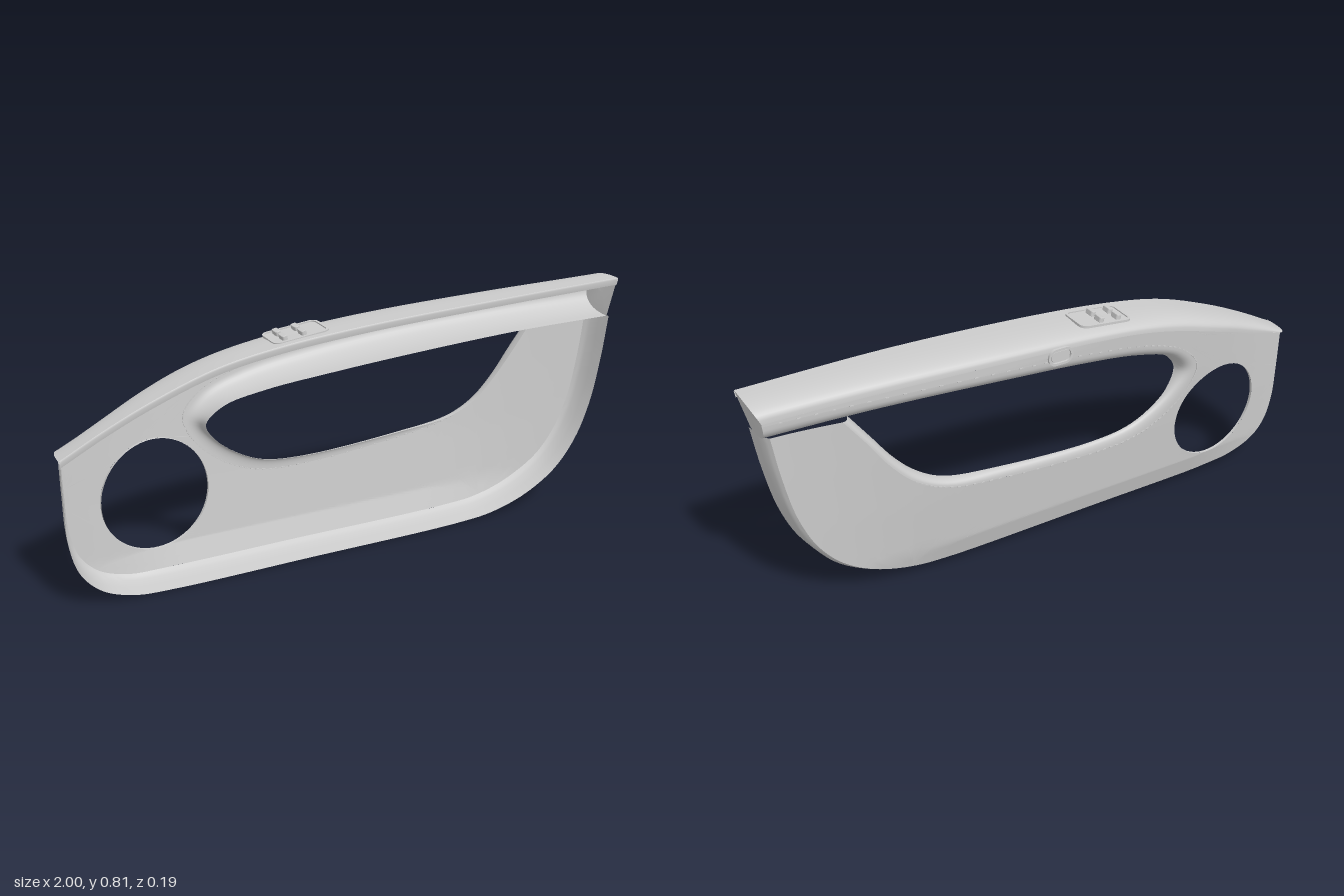
import * as THREE from 'three';
import { mergeVertices, mergeGeometries, toCreasedNormals } from 'three/addons/utils/BufferGeometryUtils.js';

const { lerp, smoothstep } = THREE.MathUtils;
const material = new THREE.MeshStandardMaterial({ color: 0xcccccc, side: THREE.DoubleSide });
const V = (x, y, z = 0) => new THREE.Vector3(x, y, z);
const curve = pts => new THREE.CatmullRomCurve3(pts.map(p => V(...p)), false, 'centripetal');
const sample = (c, n) => Array.from({ length: n + 1 }, (_, i) => c.getPoint(i / n));

// Depth of the bulging outer skin (toward -z) at a point
const bulge = [[0, 0.015], [0.1, 0.045], [0.3, 0.065], [0.5, 0.08], [0.72, 0.095], [1, 0.095]];
function face(x, y) {
  const i = Math.max(1, bulge.findIndex(b => b[0] >= y));
  const [y0, z0] = bulge[i - 1], [y1, z1] = bulge[i];
  const depth = lerp(z0, z1, (y - y0) / (y1 - y0));
  const left = 1 - 0.65 * (1 - smoothstep(x, -1, -0.55));
  const low = 1 - 0.76 * smoothstep(x, 0.3, 0.97);
  const beam = 1 - 0.32 * smoothstep(x, 0, 1);
  return -depth * left * lerp(low, beam, smoothstep(y, 0.685, 0.72));
}

// Sheet through a list of equally long rows of points
function sheet(rows) {
  const pos = [], idx = [], w = rows[0].length;
  rows.forEach(r => r.forEach(p => pos.push(p.x, p.y, p.z)));
  for (let i = 0; i < rows.length - 1; i++)
    for (let j = 0; j < w - 1; j++) {
      const a = i * w + j, b = a + w;
      idx.push(a, b, a + 1, b, b + 1, a + 1);
    }
  const g = new THREE.BufferGeometry();
  g.setAttribute('position', new THREE.Float32BufferAttribute(pos, 3));
  g.setIndex(idx);
  g.computeVertexNormals();
  return g;
}

// Rounded section from a (on the skin) to b (the returned edge)
function roll(a, b, power, n = 12) {
  return Array.from({ length: n + 1 }, (_, k) => {
    const t = (k / n) * Math.PI / 2;
    const s = Math.pow(Math.sin(t), 2 / power);
    const c = 1 - Math.pow(Math.max(0, Math.cos(t)), 2 / power);
    return V(lerp(a.x, b.x, s), lerp(a.y, b.y, s), lerp(a.z, b.z, c));
  });
}
const onFace = p => V(p.x, p.y, face(p.x, p.y));

// Split long edges so that a flat shape can follow the curved skin
function subdivide(geo, maxLen) {
  const src = geo.toNonIndexed().attributes.position, out = [];
  const split = (a, b, c) => {
    const ab = a.distanceTo(b), bc = b.distanceTo(c), ca = c.distanceTo(a);
    const m = Math.max(ab, bc, ca);
    if (m <= maxLen) return out.push(a, b, c);
    if (m === bc) [a, b, c] = [b, c, a];
    else if (m === ca) [a, b, c] = [c, a, b];
    const mid = a.clone().add(b).multiplyScalar(0.5);
    split(a, mid, c);
    split(mid, b, c);
  };
  for (let i = 0; i < src.count; i += 3)
    split(...[0, 1, 2].map(k => new THREE.Vector3().fromBufferAttribute(src, i + k)));
  return new THREE.BufferGeometry().setFromPoints(out);
}

function roundedRect(w, h, r, Type = THREE.Shape) {
  const s = new Type(), x = w / 2 - r, y = h / 2 - r;
  s.absarc(x, y, r, 0, Math.PI / 2);
  s.absarc(-x, y, r, Math.PI / 2, Math.PI);
  s.absarc(-x, -y, r, Math.PI, Math.PI * 1.5);
  s.absarc(x, -y, r, Math.PI * 1.5, Math.PI * 2);
  s.closePath();
  return s;
}
function frame(w, h, r, t, depth) {
  const s = roundedRect(w, h, r);
  s.holes.push(roundedRect(w - 2 * t, h - 2 * t, r - t, THREE.Path));
  return new THREE.ExtrudeGeometry(s, { depth, bevelEnabled: false, curveSegments: 8 });
}

export function createModel() {
  const model = new THREE.Group();
  const add = (name, geo, parent = model) => {
    const m = new THREE.Mesh(geo, material);
    m.name = name;
    parent.add(m);
    return m;
  };

  // Guide curves: rim, top edge, and the opening with its rolled border
  const rimCurve = curve([[-1, 0.5], [-1, 0.36], [-0.995, 0.22], [-0.965, 0.12], [-0.9, 0.05], [-0.8, 0.012],
    [-0.68, 0.002], [-0.2, 0], [0.38, 0], [0.52, 0.012], [0.66, 0.055], [0.78, 0.13], [0.86, 0.23],
    [0.915, 0.36], [0.95, 0.52], [0.972, 0.675]]);
  const topOuter = curve([[-1, 0.5, 0.06], [-0.85, 0.578, 0.064], [-0.7, 0.645, 0.068], [-0.5, 0.715, 0.073],
    [-0.3, 0.752, 0.077], [0, 0.78, 0.082], [0.5, 0.802, 0.088], [1, 0.81, 0.075]]);
  const topInner = curve([[-0.972, 0.5], [-0.83, 0.545], [-0.68, 0.605], [-0.49, 0.668],
    [-0.3, 0.709], [0, 0.735], [0.5, 0.752], [0.976, 0.758]]);
  const seam = curve([[0.976, 0.75], [0.6, 0.735], [0.2, 0.715], [-0.1, 0.69], [-0.35, 0.65], [-0.5, 0.59],
    [-0.56, 0.515], [-0.53, 0.43], [-0.44, 0.345], [-0.32, 0.292], [-0.15, 0.28], [0.2, 0.305],
    [0.4, 0.338], [0.51, 0.395], [0.59, 0.48], [0.65, 0.57], [0.725, 0.675]]);
  const openingEdge = curve([[0.968, 0.675, 0.07], [0.6, 0.67, 0.062], [0.2, 0.649, 0.052], [-0.1, 0.625, 0.04],
    [-0.32, 0.597, 0.02], [-0.45, 0.56, 0], [-0.505, 0.5, -0.02], [-0.465, 0.43, -0.04], [-0.39, 0.37, -0.045],
    [-0.3, 0.33, -0.045], [-0.15, 0.315, -0.045], [0.2, 0.335, -0.04], [0.4, 0.362, -0.03],
    [0.49, 0.41, -0.02], [0.56, 0.48, -0.015], [0.625, 0.57, -0.005], [0.7, 0.675, 0]]);

  const N = 96;
  const rimOut = sample(rimCurve, N);
  const rimIn = rimOut.map((p, i) => {
    const t = rimCurve.getTangent(i / N);
    return V(p.x - t.y * 0.028, p.y + t.x * 0.028);
  });
  const top = sample(topOuter, N), topIn = sample(topInner, N);
  const seamPts = sample(seam, N), edgePts = sample(openingEdge, N);

  // Main skin with the round speaker hole
  const speaker = { x: -0.677, y: 0.284, r: 0.183 };
  const outline = [...rimIn, ...seamPts.slice().reverse(), ...topIn.slice(1).reverse()];
  const shape = new THREE.Shape(outline.map(p => new THREE.Vector2(p.x, p.y)));
  shape.holes.push(new THREE.Path().absarc(speaker.x, speaker.y, speaker.r, 0, Math.PI * 2, true));
  let skin = subdivide(new THREE.ShapeGeometry(shape, 40), 0.045);
  const pos = skin.attributes.position;
  for (let i = 0; i < pos.count; i++) pos.setZ(i, face(pos.getX(i), pos.getY(i)));
  skin = mergeVertices(skin);
  skin.computeVertexNormals();
  add('doorPanel', skin);

  // Short wall inside the speaker hole
  const ring = Array.from({ length: 65 }, (_, i) => {
    const a = i / 64 * Math.PI * 2;
    return onFace(V(speaker.x + speaker.r * Math.cos(a), speaker.y + speaker.r * Math.sin(a)));
  });
  add('speakerHoleWall', sheet([ring, ring.map(p => V(p.x, p.y, p.z + 0.01))]));

  // Deep rim around sides and bottom
  const rimRows = rimOut.map((p, i) => {
    const q = onFace(rimIn[i]);
    const at = (t, z) => V(lerp(p.x, q.x, t), lerp(p.y, q.y, t), z);
    return [at(0, 0.077), at(0.25, 0.035), at(0.5, 0), at(0.72, Math.max(-0.011, q.z * 0.6)), q];
  });
  add('rim', toCreasedNormals(sheet(rimRows), 0.4));

  // Armrest top with a small turned-down front lip
  const topRows = top.map((p, i) => roll(onFace(topIn[i]), p, 3));
  add('armrestTop', sheet(topRows));
  const lipRows = top.map(p => [p, V(p.x, p.y - 0.006, p.z + 0.004), V(p.x - 0.002, p.y - 0.025, p.z)]);
  add('armrestFrontLip', sheet(lipRows));

  // Rolled border of the opening, which is also the armrest underside
  const underRows = seamPts.map((p, i) => roll(onFace(p), edgePts[i], 2.5));
  add('openingBorder', sheet(underRows));

  // End cap of the armrest
  const capEdge = [...underRows[0].slice().reverse(), ...topRows[N]];
  const hub = V(0.982, 0.745, 0.02);
  add('armrestEndCap', toCreasedNormals(sheet([[...capEdge, capEdge[0]], Array(capEdge.length + 1).fill(hub)]), 0.6));

  // Stitching along the seam
  const stitches = [];
  for (let i = 1; i < 90; i++) {
    const t = i / 110, p = onFace(seam.getPoint(t)), d = seam.getTangent(t);
    const g = new THREE.BoxGeometry(0.012, 0.003, 0.005);
    g.rotateZ(Math.atan2(d.y, d.x));
    stitches.push(g.translate(p.x, p.y, p.z));
  }
  add('stitching', mergeGeometries(stitches));

  // Window switch panel on the armrest
  const switches = new THREE.Group();
  switches.name = 'switchPanel';
  switches.position.set(-0.197, 0.763, -0.006);
  switches.rotation.z = 0.11;
  model.add(switches);
  add('switchFrame', frame(0.195, 0.122, 0.025, 0.008, 0.008).rotateX(-Math.PI / 2), switches).position.y = -0.004;
  const plate = new THREE.ExtrudeGeometry(roundedRect(0.185, 0.112, 0.02), { depth: 0.003, bevelEnabled: false });
  add('switchPlate', plate.rotateX(-Math.PI / 2), switches).position.y = -0.003;
  for (const x of [-0.053, 0.013])
    for (const z of [-0.025, 0.025]) {
      const rocker = new THREE.ExtrudeGeometry(roundedRect(0.015, 0.034, 0.005),
        { depth: 0.014, bevelEnabled: true, bevelSize: 0.002, bevelThickness: 0.002, bevelSegments: 2 });
      const m = add('rockerSwitch', rocker.rotateX(-Math.PI / 2), switches);
      m.position.set(x, 0, z);
      m.rotation.z = 0.15;
    }

  // Oval release button on the armrest side
  const button = new THREE.Group();
  button.name = 'releaseButton';
  button.position.set(0.002, 0.717, face(0, 0.717));
  model.add(button);
  add('buttonFrame', frame(0.09, 0.058, 0.028, 0.008, 0.016), button).position.z = -0.008;
  add('buttonPad', new THREE.ExtrudeGeometry(roundedRect(0.066, 0.036, 0.017), { depth: 0.01, bevelEnabled: false }), button)
    .position.z = -0.005;

  return model;
}
